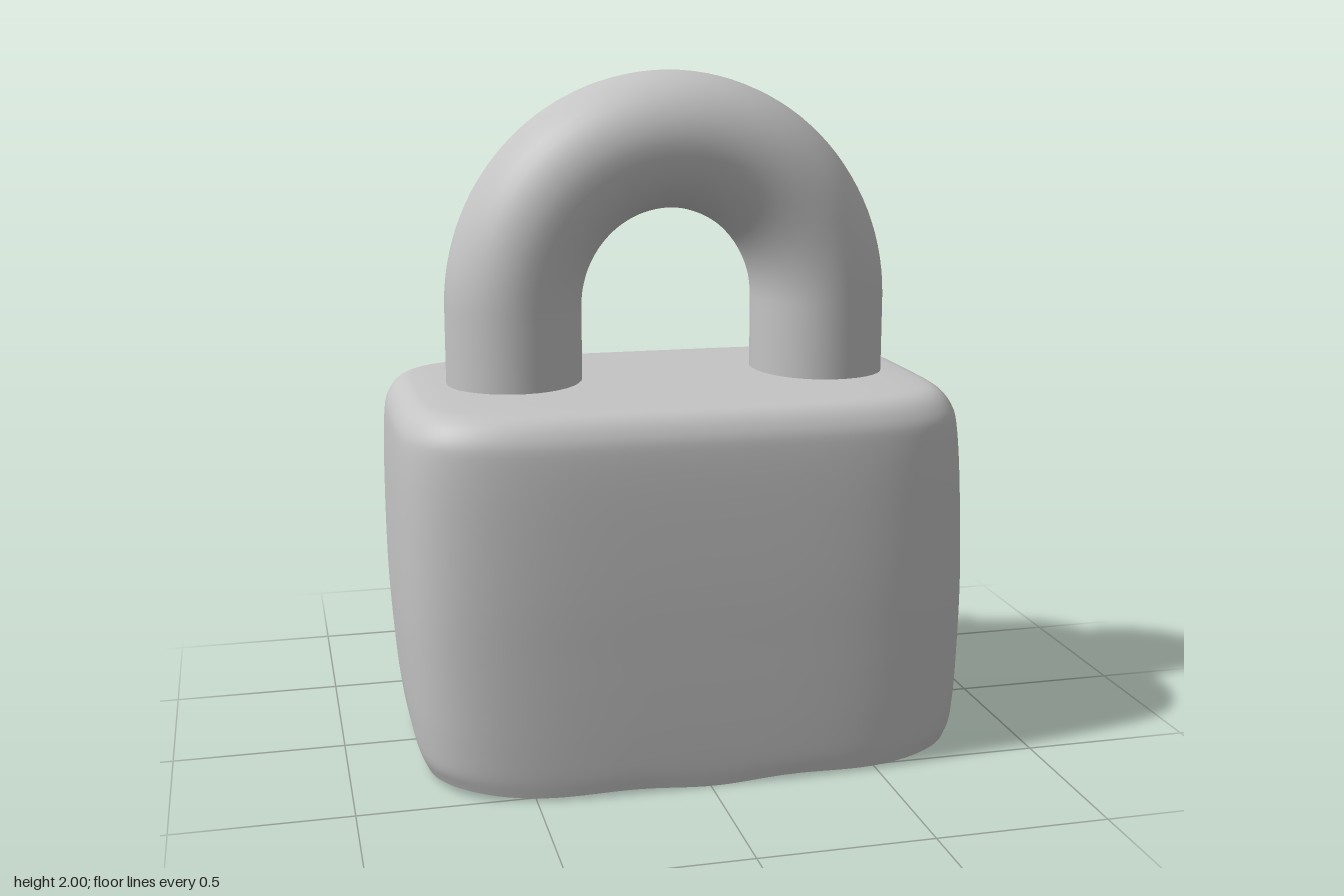
import * as THREE from 'three';
import { RoundedBoxGeometry } from 'three/addons/geometries/RoundedBoxGeometry.js';

const { smoothstep } = THREE.MathUtils;

// How far the back wall is pressed in: two eye sockets and a frowning mouth
function faceDepth(x, y) {
  const eye = Math.hypot((Math.abs(x) - 0.33) / 0.2, (y - 0.64) / 0.24);
  const socket = 0.035 * (1 - smoothstep(eye, 0.75, 1.12));
  const lip = 0.425 - 3.1 * x * x;
  const below = lip - y;
  const mouth = 0.04 * smoothstep(below, -0.012, 0.02) * (1 - smoothstep(below, 0.025, 0.14))
    * (1 - smoothstep(Math.abs(x), 0.13, 0.21));
  return Math.max(socket, mouth);
}

// Hollow body, open underneath: superelliptic rings following an inset profile
function bodyGeometry() {
  const profile = new THREE.SplineCurve([
    [0.05, 0], [0.032, 0.05], [0.02, 0.13], [0.01, 0.25], [0, 0.5], [0.004, 0.8], [0.014, 0.98],
    [0.03, 1.04], [0.065, 1.08], [0.12, 1.093], [0.25, 1.1], [0.54, 1.106],
  ].map(([d, y]) => new THREE.Vector2(d, y)));
  const rows = profile.getSpacedPoints(100);
  const N = 240, pos = [], idx = [];
  rows.forEach((p, i) => {
    const low = 1 - smoothstep(p.y, 0.3, 1.1);
    const insetZ = p.x * (0.25 + 0.75 * smoothstep(p.y, 0.3, 0.7));
    const lean = 0.012 - 0.022 * p.y;
    for (let j = 0; j < N; j++) {
      const t = (j / N) * Math.PI * 2, c = Math.cos(t), s = Math.sin(t);
      // the left back corner is squarer towards the bottom
      const power = 4.6 + 2.6 * low * (c > 0 && s < 0 ? Math.sin(2 * t) ** 2 : 0);
      const r = (Math.abs(c) ** power + Math.abs(s) ** power) ** (-1 / power);
      const x = (0.84 - p.x) * r * c + lean;
      let z = Math.max(0, 0.54 - insetZ) * r * s + 0.01;
      // slightly uneven lower rim
      const rim = (0.013 + 0.006 * Math.sin(3 * t) + 0.005 * Math.sin(11 * t)) * (1 - smoothstep(p.y, 0, 0.1));
      if (z < -0.4 && p.y < 1.02) z += faceDepth(x, p.y);
      pos.push(x, p.y + rim, z);
      if (i < rows.length - 1) {
        const a = i * N + j, b = i * N + (j + 1) % N;
        idx.push(a, a + N, b, b, a + N, b + N);
      }
    }
  });
  const g = new THREE.BufferGeometry();
  g.setAttribute('position', new THREE.Float32BufferAttribute(pos, 3));
  g.setIndex(idx);
  g.computeVertexNormals();
  return g;
}

// Shackle centre line: straight legs joined by a half ellipse
class ShacklePath extends THREE.Curve {
  getPoint(u, target = new THREE.Vector3()) {
    const leg = 0.14, baseY = 1.08, springY = 1.32, rx = 0.465, ry = 0.48;
    if (u < leg) return target.set(-rx, baseY + (springY - baseY) * u / leg, 0);
    if (u > 1 - leg) return target.set(rx, baseY + (springY - baseY) * (1 - u) / leg, 0);
    const a = Math.PI * (1 - (u - leg) / (1 - 2 * leg));
    return target.set(rx * Math.cos(a), springY + ry * Math.sin(a), 0);
  }
}

export function createModel() {
  const model = new THREE.Group();
  model.name = 'padlock';
  const grey = new THREE.MeshStandardMaterial({ color: 0xc4c4c4, side: THREE.DoubleSide });
  grey.name = 'grey';

  const add = (name, geometry, parent = model) => {
    const mesh = new THREE.Mesh(geometry, grey);
    mesh.name = name;
    parent.add(mesh);
    return mesh;
  };

  add('body', bodyGeometry());

  // Shackle, a little deeper than wide in section
  const shackle = add('shackle', new THREE.TubeGeometry(new ShacklePath(), 72, 0.2, 36));
  shackle.scale.z = 1.07;

  // Scowling face on the back
  const face = new THREE.Group();
  face.name = 'face';
  model.add(face);
  for (const side of [1, -1]) {
    const label = side > 0 ? 'left' : 'right';
    const eye = add(label + 'Eye', new THREE.SphereGeometry(1, 36, 24), face);
    eye.scale.set(0.175, 0.21, 0.055);
    eye.position.set(side * 0.33, 0.64, -0.49);

    const brow = add(label + 'Brow', new RoundedBoxGeometry(0.48, 0.12, 0.09, 6, 0.042), face);
    brow.position.set(side * 0.315, 0.84, -0.51);
    brow.rotation.z = side * 0.36;
  }
  // Small bridge between the brows
  const bridge = add('browBridge', new RoundedBoxGeometry(0.22, 0.09, 0.05, 4, 0.02), face);
  bridge.position.set(0, 0.75, -0.512);

  return model;
}
